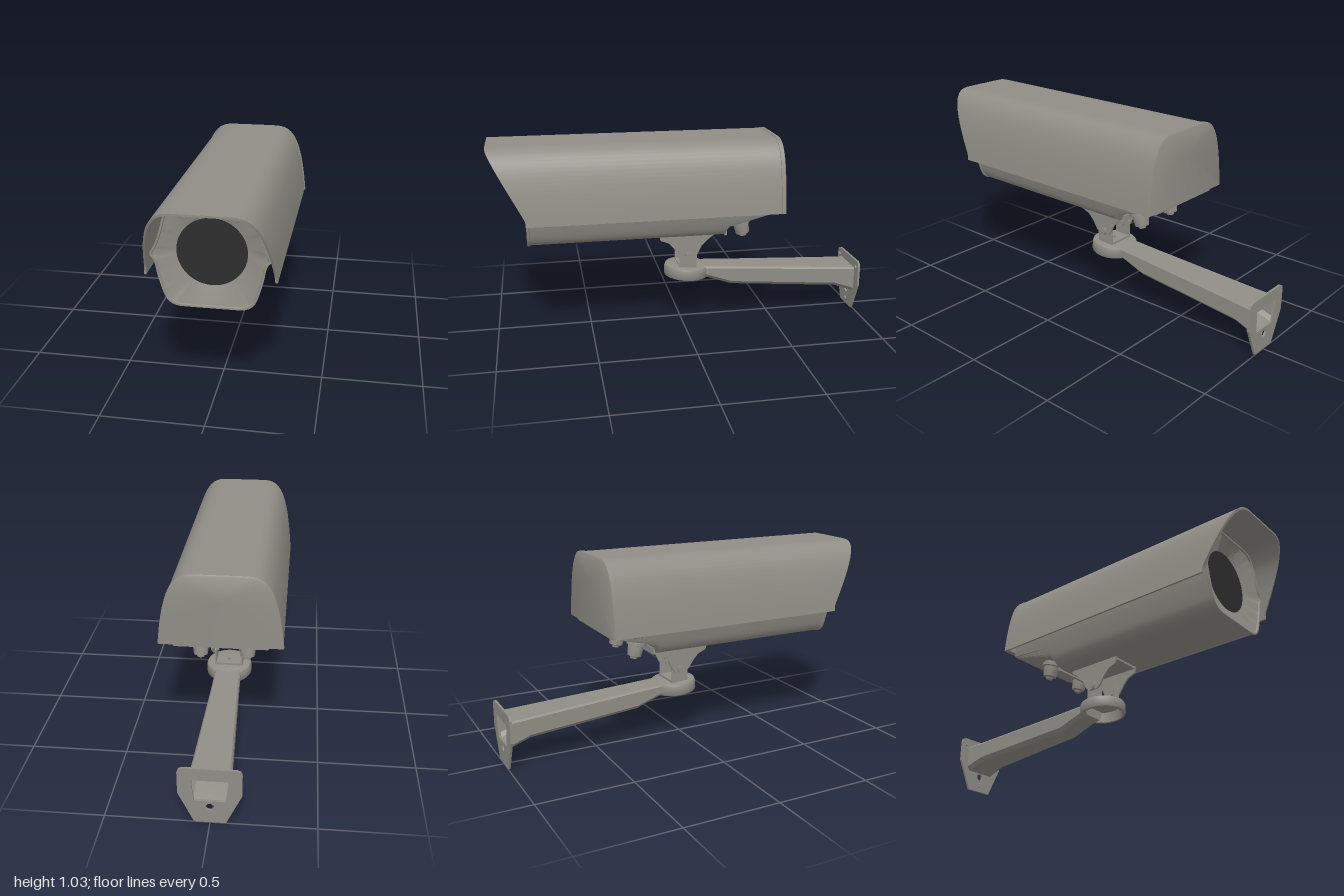
import * as THREE from 'three';
import { toCreasedNormals } from 'three/addons/utils/BufferGeometryUtils.js';

const grey = new THREE.MeshStandardMaterial({ color: 0x8f8d85 });
grey.name = 'warm grey metal';
grey.side = THREE.DoubleSide;
const dark = new THREE.MeshStandardMaterial({ color: 0x2d2d2d });
dark.name = 'dark lens glass';

const V = (x, y, z) => new THREE.Vector3(x, y, z);

// Skin a list of closed rings, each counter-clockwise about the direction of travel.
function loft(rings, capStart = true, capEnd = true) {
  const n = rings[0].length, pts = rings.flat(), index = [];
  for (let i = 0; i < rings.length - 1; i++) {
    for (let j = 0; j < n; j++) {
      const a = i * n + j, b = i * n + (j + 1) % n;
      index.push(a, b, b + n, a, b + n, a + n);
    }
  }
  const cap = (start, flip) => {
    const mid = V(0, 0, 0);
    for (let j = 0; j < n; j++) mid.addScaledVector(pts[start + j], 1 / n);
    const c = pts.push(mid) - 1;
    for (let j = 0; j < n; j++) {
      const a = start + j, b = start + (j + 1) % n;
      index.push(c, flip ? b : a, flip ? a : b);
    }
  };
  if (capStart) cap(0, true);
  if (capEnd) cap((rings.length - 1) * n, false);
  const geo = new THREE.BufferGeometry().setFromPoints(pts);
  geo.setIndex(index);
  return toCreasedNormals(geo, 0.6);
}

// Smooth symmetric outline from its right half.
function halfSpline(points, count) {
  return new THREE.SplineCurve(points.map(p => new THREE.Vector2(...p))).getSpacedPoints(count);
}

function shapeOf(points) {
  return new THREE.Shape(points.map(p => new THREE.Vector2(...p)));
}

export function createModel() {
  const model = new THREE.Group();
  const add = (name, geo, x = 0, y = 0, z = 0, mat = grey, parent = model) => {
    const mesh = new THREE.Mesh(geo, mat);
    mesh.name = name;
    mesh.position.set(x, y, z);
    parent.add(mesh);
    return mesh;
  };

  // Sun hood: thin open shell with a raked front edge
  const hoodHalf = halfSpline([[0.304, 0.662], [0.291, 0.77], [0.272, 0.87], [0.245, 0.95],
    [0.205, 1.005], [0.155, 1.028], [0.08, 1.031], [0, 1.031]], 26);
  const hoodLine = [...hoodHalf, ...hoodHalf.slice(0, -1).reverse().map(p => new THREE.Vector2(-p.x, p.y))];
  const frontZ = y => 0.82 + 0.18 * Math.max(0, (y - 0.69) / 0.341);
  const inner = p => new THREE.Vector2(p.x * 0.965, p.y - 0.01 * Math.max(0, (p.y - 0.662) / 0.369));
  add('sunHood', loft(hoodLine.map(p => {
    const q = inner(p), f = frontZ(p.y);
    return [V(p.x, p.y, -0.49), V(q.x, q.y, -0.49), V(q.x, q.y, f), V(p.x, p.y, f)].reverse();
  })));

  // Rear cap with a raised rim
  const capRing = (s, z) => hoodLine.map(p => V(p.x * s, 0.66 + (p.y - 0.66) * (1 + (s - 1) * 0.8), z));
  add('rearCap', loft([capRing(0.985, -0.505), capRing(1.012, -0.5), capRing(1.012, -0.48), capRing(0.985, -0.478)]));

  // Housing: rounded outline, rear underside cut away, dished front
  const half = halfSpline([[0, 0.515], [0.08, 0.515], [0.15, 0.517], [0.187, 0.532], [0.212, 0.568],
    [0.24, 0.66], [0.254, 0.73], [0.276, 0.765], [0.254, 0.805], [0.227, 0.88], [0.207, 0.95],
    [0.18, 0.988], [0.13, 1.002], [0.07, 1.003], [0, 1.003]], 44);
  const line = [...half, ...half.slice(1, -1).reverse().map(p => new THREE.Vector2(-p.x, p.y))];
  const cy = 0.77;
  const ring = (z, s = 1, floor = 0) => line.map(p => V(p.x * s, Math.max(cy + (p.y - cy) * s, floor), z));
  const round = (z, r) => line.map(p => {
    const a = Math.atan2(p.y - cy, p.x);
    return V(r * Math.cos(a), cy + r * Math.sin(a), z);
  });
  add('housing', loft([
    ring(-0.49, 0.985, 0.645), ring(-0.235, 0.985, 0.58), ring(-0.21, 0.985), ring(0.805, 0.985),
    ring(0.808, 1), ring(0.82, 1), ring(0.82, 0.965), ring(0.812, 0.955), round(0.765, 0.166),
  ]));
  add('lens', new THREE.CircleGeometry(0.163, 64), 0, cy, 0.769, dark);
  add('housingRearLip', new THREE.BoxGeometry(0.3, 0.035, 0.012), 0, 0.53, -0.222);

  // Ribs between housing and hood
  for (const s of [-1, 1]) add('hoodRib', new THREE.BoxGeometry(0.006, 0.022, 1.2), s * 0.007, 1.012, 0.2);

  // Cable glands under the tail
  const glandProfile = [[0, -0.115], [0.018, -0.115], [0.02, -0.105], [0.036, -0.1], [0.041, -0.06],
    [0.041, -0.045], [0.052, -0.042], [0.052, -0.025], [0.044, -0.022], [0.044, 0.02]];
  const glandGeo = toCreasedNormals(new THREE.LatheGeometry(
    glandProfile.map(p => new THREE.Vector2(...p)), 24), 0.6);
  for (const s of [-1, 1]) add('cableGland', glandGeo, s * 0.12, 0.612, -0.3).rotation.x = 0.22;

  // Plate in the z-y plane, centred on x
  const sidePlate = (pts, thick) => {
    const geo = new THREE.ExtrudeGeometry(shapeOf(pts), { depth: thick, bevelEnabled: false });
    return geo.rotateY(-Math.PI / 2).translate(thick / 2, 0, 0);
  };

  // Tilt bracket: upper ears, lower ears and pivots
  const upperEar = sidePlate([[0.13, 0.518], [0.12, 0.48], [0.075, 0.462], [0.045, 0.43], [0.015, 0.385],
    [-0.005, 0.37], [-0.06, 0.37], [-0.08, 0.39], [-0.105, 0.44], [-0.14, 0.475], [-0.18, 0.505], [-0.18, 0.518]], 0.009);
  const lowerEar = sidePlate([[0.015, 0.312], [0.015, 0.4], [0.0, 0.435], [-0.03, 0.447],
    [-0.06, 0.435], [-0.08, 0.4], [-0.08, 0.312]], 0.009);
  const pivot = new THREE.CylinderGeometry(0.015, 0.015, 0.045, 16).rotateZ(Math.PI / 2);
  const pivotNut = new THREE.CylinderGeometry(0.022, 0.022, 0.012, 6).rotateZ(Math.PI / 2);
  for (const s of [-1, 1]) {
    add('upperBracketEar', upperEar, s * 0.083);
    add('lowerBracketEar', lowerEar, s * 0.072);
    add('pivotBolt', pivot, s * 0.079, 0.39, -0.033);
    add('pivotNut', pivotNut, s * 0.092, 0.39, -0.033);
  }
  add('upperBracketBase', new THREE.BoxGeometry(0.174, 0.012, 0.3), 0, 0.511, -0.025);
  add('bracketScrew', new THREE.CylinderGeometry(0.016, 0.016, 0.016, 16), 0, 0.499, -0.025);
  add('lowerBracketBase', new THREE.BoxGeometry(0.15, 0.012, 0.095), 0, 0.318, -0.033);
  add('swivelBolt', new THREE.CylinderGeometry(0.009, 0.009, 0.02, 12), 0, 0.325, -0.033);

  // Swivel disc, hollow underneath
  const discProfile = [[0, 0.022], [0.1, 0.022], [0.106, -0.033], [0.118, -0.033], [0.122, -0.027],
    [0.122, 0.016], [0.117, 0.027], [0.106, 0.031], [0, 0.031]];
  add('swivelDisc', toCreasedNormals(new THREE.LatheGeometry(
    discProfile.map(p => new THREE.Vector2(...p)), 48), 0.6), 0, 0.284, -0.035).rotation.x = -0.06;

  // Wall arm: [z, top, bottom, half width at top, half width at bottom]
  const armSections = [[-0.99, 0.257, 0.113, 0.1, 0.082], [-0.88, 0.263, 0.15, 0.094, 0.074],
    [-0.28, 0.3, 0.195, 0.072, 0.052], [-0.15, 0.308, 0.24, 0.07, 0.05], [-0.1, 0.311, 0.252, 0.066, 0.05]];
  const armRing = ([z, t, b, wt, wb]) => [
    V(wb, b, z), V(wt, b + 0.02, z), V(wt, t - 0.01, z), V(wt - 0.008, t, z),
    V(-wt + 0.008, t, z), V(-wt, t - 0.01, z), V(-wt, b + 0.02, z), V(-wb, b, z)];
  add('wallArm', loft(armSections.map(armRing), false, true));

  // Wall plate with the hollow of the arm and a cable hole opening through it
  const plate = shapeOf([[0.075, 0.002], [0.15, 0.165], [0.15, 0.28], [0.143, 0.296], [0.125, 0.304],
    [-0.125, 0.304], [-0.143, 0.296], [-0.15, 0.28], [-0.15, 0.165], [-0.075, 0.002]]);
  plate.holes.push(new THREE.Path([[-0.074, 0.125], [-0.088, 0.24], [0.088, 0.24], [0.074, 0.125]]
    .map(p => new THREE.Vector2(...p))));
  const hole = new THREE.Path();
  hole.absarc(0, 0.091, 0.019, 0, Math.PI * 2, true);
  plate.holes.push(hole);
  add('wallPlate', new THREE.ExtrudeGeometry(plate, { depth: 0.012, bevelEnabled: false, curveSegments: 24 }), 0, 0, -1);
  const screw = new THREE.CylinderGeometry(0.01, 0.01, 0.012, 14).rotateX(Math.PI / 2);
  for (const [x, y] of [[0, 0.035], [0.118, 0.266], [-0.118, 0.266]]) add('wallScrew', screw, x, y, -0.986);

  return model;
}
